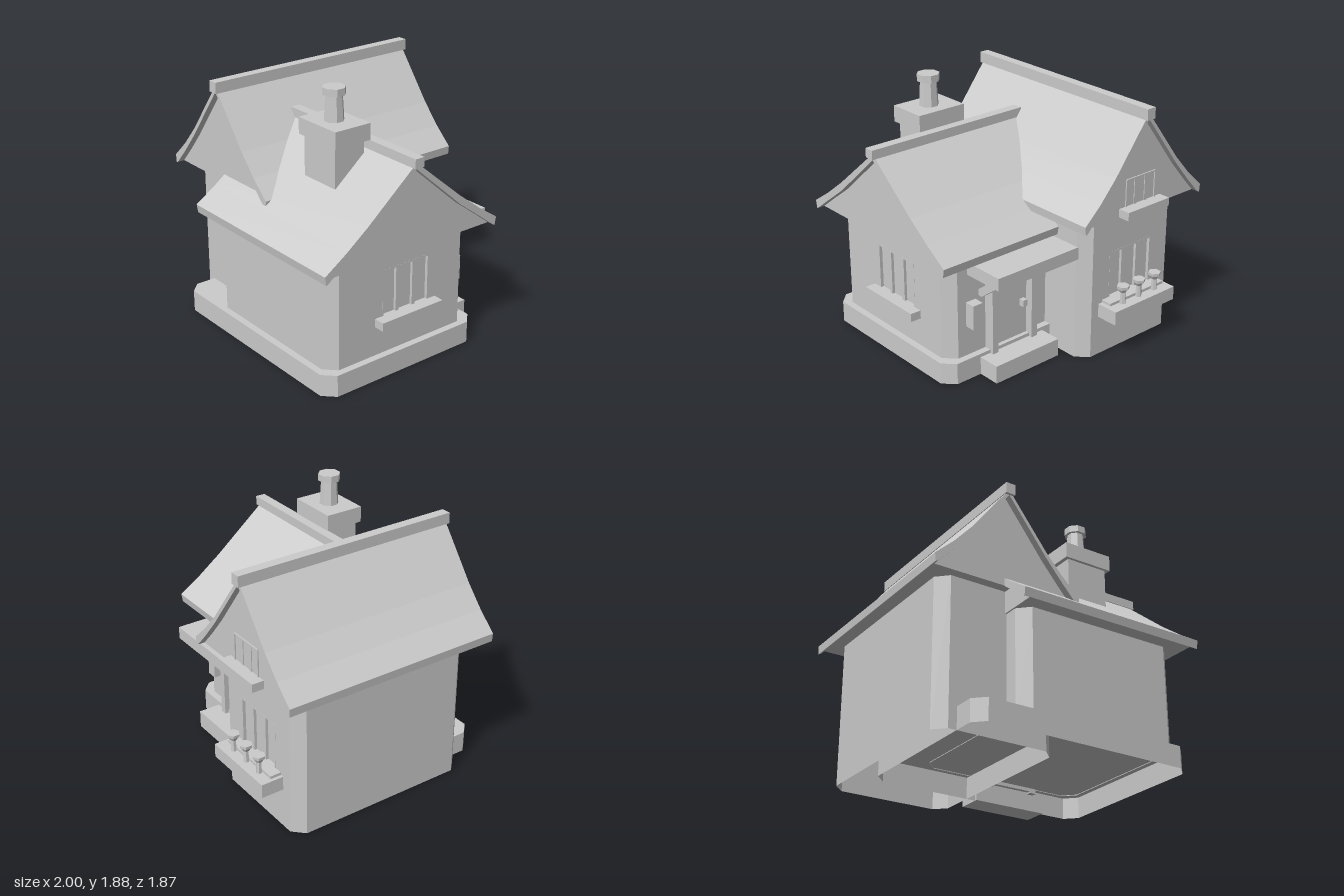
import * as THREE from 'three';

const plaster = new THREE.MeshStandardMaterial({ color: 0xcccccc, flatShading: true, side: THREE.DoubleSide });
plaster.name = 'plainGrey';

function add(parent, name, geometry, x = 0, y = 0, z = 0) {
  const mesh = new THREE.Mesh(geometry, plaster);
  mesh.name = name;
  mesh.position.set(x, y, z);
  parent.add(mesh);
  return mesh;
}

// Box given by its min and max corners
function block(parent, name, [x0, y0, z0], [x1, y1, z1]) {
  return add(parent, name, new THREE.BoxGeometry(x1 - x0, y1 - y0, z1 - z0),
    (x0 + x1) / 2, (y0 + y1) / 2, (z0 + z1) / 2);
}

const shapeOf = pts => new THREE.Shape(pts.map(p => new THREE.Vector2(...p)));

// Ring of wall panels on a rectangle with cut corners, open below.
// opening = { side, x, y, w, h } cuts a window (side 0 front, 2 right, 4 back)
function wallRing(parent, name, [x0, x1], [z0, z1], [y0, y1], { opening, lid } = {}) {
  const ring = new THREE.Group();
  ring.name = name;
  ring.position.set((x0 + x1) / 2, 0, (z0 + z1) / 2);
  const w = (x1 - x0) / 2, d = (z1 - z0) / 2, c = 0.08;
  const corners = [[c - w, d], [w - c, d], [w, d - c], [w, c - d],
    [w - c, -d], [c - w, -d], [-w, c - d], [-w, d - c]];
  corners.forEach(([px, pz], i) => {
    const [qx, qz] = corners[(i + 1) % corners.length];
    const half = Math.hypot(qx - px, qz - pz) / 2;
    const shape = shapeOf([[-half, y0], [half, y0], [half, y1], [-half, y1]]);
    if (opening && opening.side === i) {
      const { x, y, w: ow, h } = opening;
      shape.holes.push(shapeOf([[x - ow / 2, y], [x - ow / 2, y + h], [x + ow / 2, y + h], [x + ow / 2, y]]));
    }
    const panel = add(ring, 'wallPanel', new THREE.ShapeGeometry(shape), (px + qx) / 2, 0, (pz + qz) / 2);
    panel.rotation.y = Math.atan2(pz - qz, qx - px);
  });
  if (lid) {
    const top = shapeOf(corners.map(([x, z]) => [x, -z]));
    add(ring, 'topFace', new THREE.ShapeGeometry(top).rotateX(-Math.PI / 2), 0, y1, 0);
  }
  parent.add(ring);
}

// Flared gable roof along z: outer and inner are half profiles from ridge to eave
function gableRoof(parent, name, outer, inner, length, inset, ridge) {
  const roof = new THREE.Group();
  roof.name = name;
  const mirror = pts => pts.map(([x, y]) => [-x, y]);
  const closeOver = pts => [...mirror(pts).reverse(), ...pts.slice(1)];
  const prism = (label, pts, len) => {
    const geo = new THREE.ExtrudeGeometry(shapeOf(pts), { depth: len, bevelEnabled: false });
    add(roof, label, geo.translate(0, 0, -len / 2));
  };
  prism('roofShell', [...closeOver(outer), ...closeOver(inner).reverse()], length);
  prism('gableFill', closeOver(inner), length - 2 * inset);
  block(roof, 'ridgeBeam', [-0.036, ridge[0], ridge[2]], [0.036, ridge[1], ridge[3]]);
  parent.add(roof);
  return roof;
}

// Recessed window facing +z, wall plane at z = 0, origin at the bottom middle
function makeWindow(parent, name, width, height, sillWidth, sillHeight) {
  const win = new THREE.Group();
  win.name = name;
  const w = width / 2, back = -0.03;
  block(win, 'pane', [-w, 0, back], [w, height, -0.022]);
  for (const s of [-1, 1]) {
    block(win, 'sideFrame', [s * w - 0.006, 0, back], [s * w + 0.006, height, 0.001]);
    block(win, 'mullion', [s * w * 0.36 - 0.013, 0, back], [s * w * 0.36 + 0.013, height, -0.002]);
  }
  block(win, 'topFrame', [-w, height - 0.006, back], [w, height + 0.006, 0.001]);
  block(win, 'sill', [-sillWidth / 2, 0, back], [sillWidth / 2, sillHeight, 0.08]);
  parent.add(win);
  return win;
}

export function createModel() {
  const house = new THREE.Group();
  house.name = 'cottage';

  // Walls and plinth
  wallRing(house, 'tallWingWalls', [-0.89, -0.01], [-0.77, 0.63], [0, 1.045],
    { opening: { side: 4, x: 0, y: 0.365, w: 0.39, h: 0.385 } });
  wallRing(house, 'lowWingWalls', [-0.39, 0.85], [-0.39, 0.81], [0.15, 0.885],
    { opening: { side: 2, x: 0.04, y: 0.365, w: 0.39, h: 0.385 } });
  wallRing(house, 'plinth', [-0.75, 0.9], [-0.44, 0.86], [0, 0.155], { lid: true });

  // Roofs
  const tall = gableRoof(house, 'tallRoof',
    [[0, 1.74], [0.29, 1.36], [0.42, 1.215], [0.555, 1.09], [0.55, 1.03]],
    [[0, 1.70], [0.29, 1.315], [0.42, 1.16], [0.53, 1.04]],
    1.64, 0.05, [1.7, 1.778, -0.84, 0.84]);
  tall.position.set(-0.445, 0, -0.07);
  const low = gableRoof(house, 'lowRoof',
    [[0, 1.495], [0.39, 1.17], [0.56, 1.042], [0.725, 0.932], [0.715, 0.872]],
    [[0, 1.452], [0.39, 1.11], [0.56, 0.985], [0.7, 0.88]],
    1.425, 0.05, [1.47, 1.535, -0.54, 0.74]);
  low.rotation.y = Math.PI / 2;
  low.position.set(0.262, 0, 0.21);

  // Chimney
  block(house, 'chimneyStack', [0.213, 1.1, 0.27], [0.533, 1.54, 0.505]);
  block(house, 'chimneyCap', [0.183, 1.535, 0.24], [0.563, 1.65, 0.527]);
  add(house, 'chimneyPot', new THREE.CylinderGeometry(0.058, 0.068, 0.18, 8), 0.372, 1.74, 0.385)
    .rotation.y = Math.PI / 8;
  add(house, 'chimneyPotRim', new THREE.CylinderGeometry(0.079, 0.079, 0.05, 8), 0.372, 1.85, 0.385)
    .rotation.y = Math.PI / 8;

  // Windows
  const side = makeWindow(house, 'sideWindow', 0.39, 0.385, 0.52, 0.06);
  side.rotation.y = Math.PI / 2;
  side.position.set(0.85, 0.365, 0.17);
  const back = makeWindow(house, 'backWindow', 0.39, 0.385, 0.52, 0.05);
  back.rotation.y = Math.PI;
  back.position.set(-0.45, 0.365, -0.77);
  const attic = makeWindow(house, 'atticWindow', 0.27, 0.25, 0.39, 0.06);
  attic.rotation.y = Math.PI;
  attic.position.set(-0.445, 1.04, -0.848);

  // Flower box
  block(house, 'flowerBox', [-0.735, 0.295, -0.935], [-0.155, 0.395, -0.77]);
  for (const x of [-0.60, -0.445, -0.29]) {
    const flower = new THREE.Group();
    flower.name = 'flower';
    flower.position.set(x, 0.39, -0.868);
    add(flower, 'stem', new THREE.CylinderGeometry(0.018, 0.022, 0.1, 6), 0, 0.05, 0);
    add(flower, 'blossom', new THREE.CylinderGeometry(0.04, 0.022, 0.03, 6), 0, 0.105, 0);
    add(flower, 'blossomRim', new THREE.CylinderGeometry(0.046, 0.044, 0.022, 6), 0, 0.13, 0);
    house.add(flower);
  }

  // Porch: canopy, diagonal braces, door, step, letter box
  block(house, 'porchCanopy', [-0.015, 0.755, -0.705], [0.686, 0.845, -0.38]);
  const braceShape = shapeOf([[0.38, 0.57], [0.42, 0.57], [0.64, 0.735], [0.64, 0.756], [0.575, 0.756], [0.38, 0.61]]);
  for (const x of [0.08, 0.54]) {
    const geo = new THREE.ExtrudeGeometry(braceShape, { depth: 0.05, bevelEnabled: false });
    add(house, 'porchBrace', geo.rotateY(Math.PI / 2), x, 0, 0);
  }
  block(house, 'door', [0.18, 0.13, -0.41], [0.49, 0.69, -0.38]);
  for (const x of [0.135, 0.485]) {
    block(house, 'doorPost', [x, 0.12, -0.468], [x + 0.05, 0.72, -0.38]);
  }
  block(house, 'doorLintel', [0.12, 0.715, -0.485], [0.55, 0.756, -0.38]);
  block(house, 'doorHandle', [0.21, 0.38, -0.45], [0.245, 0.43, -0.4]);
  block(house, 'doorStep', [0.06, 0, -0.605], [0.62, 0.13, -0.42]);
  block(house, 'letterBox', [0.62, 0.375, -0.467], [0.7, 0.555, -0.38]);

  return house;
}
